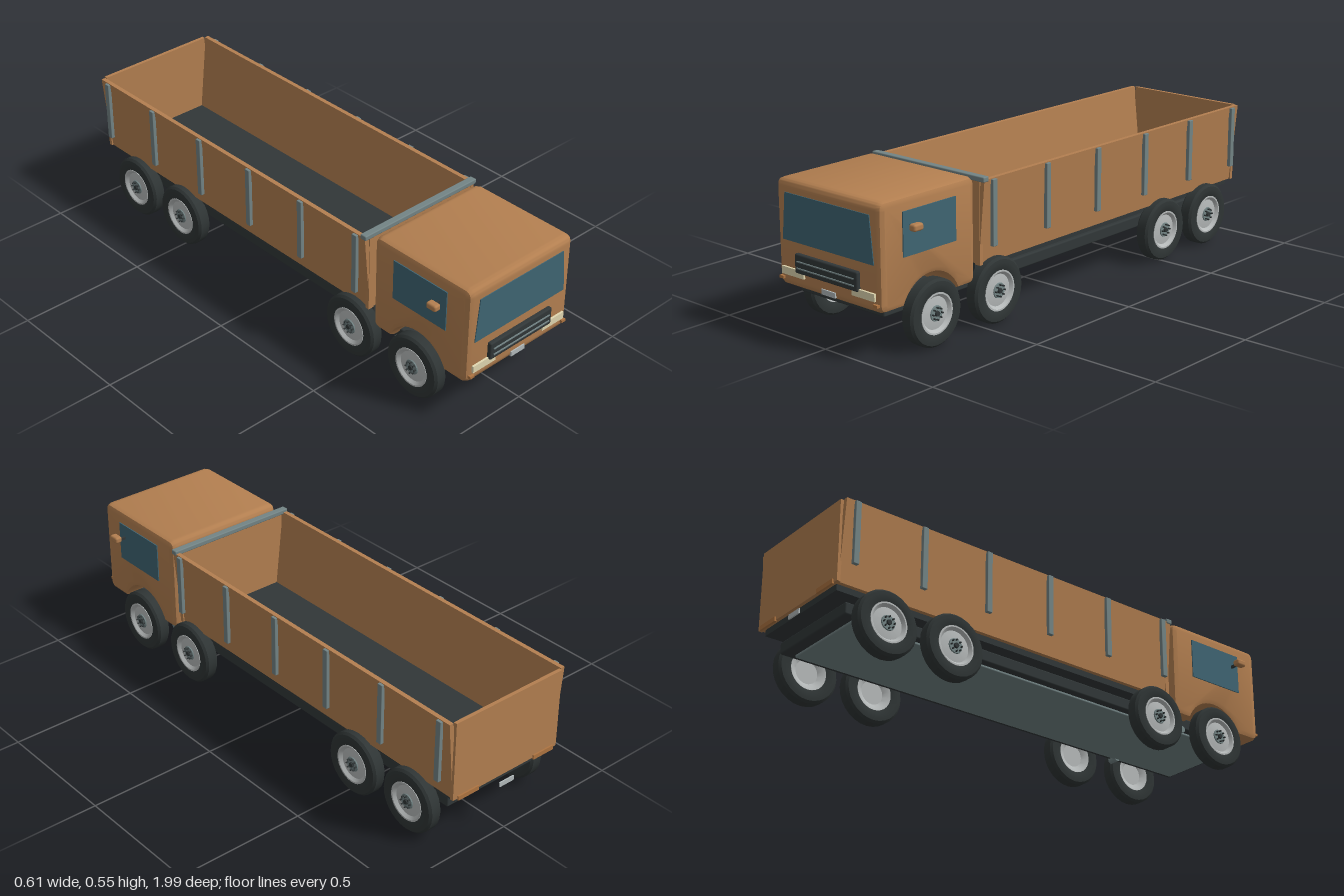
import * as THREE from 'three';
import { toCreasedNormals } from 'three/addons/utils/BufferGeometryUtils.js';
import { RoundedBoxGeometry } from 'three/addons/geometries/RoundedBoxGeometry.js';

const mat = (name, color) => {
  const m = new THREE.MeshStandardMaterial({ color });
  m.name = name;
  return m;
};

export function createModel() {
  const paint = mat('brown paint', 0xb37f50);
  const glass = mat('window glass', 0x3f6573);
  const dark = mat('dark frame', 0x313738);
  const tyreMat = mat('tyre rubber', 0x2f3535);
  const steel = mat('grey steel', 0x738485);
  const rimMat = mat('rim metal', 0xb6baba);
  const lampMat = mat('lamp cream', 0xe0d7b0);
  const plateMat = mat('plate grey', 0xb2babb);
  const amber = mat('marker amber', 0xae7441);

  const truck = new THREE.Group();
  truck.name = 'truck';
  const add = (name, geometry, material, parent = truck) => {
    const m = new THREE.Mesh(geometry, material);
    m.name = name;
    parent.add(m);
    return m;
  };
  // box given by its extents on each axis
  const box = (name, material, x0, x1, y0, y1, z0, z1, r = 0) => {
    const size = [x1 - x0, y1 - y0, z1 - z0];
    const g = r ? new RoundedBoxGeometry(...size, 2, r) : new THREE.BoxGeometry(...size);
    return add(name, g.translate((x0 + x1) / 2, (y0 + y1) / 2, (z0 + z1) / 2), material);
  };
  // the same box on both sides
  const pair = (name, material, x0, x1, ...rest) => {
    box(name + 'Left', material, x0, x1, ...rest);
    box(name + 'Right', material, -x1, -x0, ...rest);
  };
  const polygon = pts => new THREE.Shape(pts.map(p => new THREE.Vector2(...p)));

  // cab: side profile with wheel arch, extruded across the width
  const zb = 0.53, zf = 0.975, yb = 0.17, yt = 0.548, r = 0.03;
  const archZ = 0.74, archY = 0.12, archR = 0.135;
  const a = Math.asin((yb - archY) / archR);
  const cabShape = new THREE.Shape();
  cabShape.moveTo(zb + r, yb);
  cabShape.lineTo(archZ - Math.cos(a) * archR, yb);
  cabShape.absarc(archZ, archY, archR, Math.PI - a, a, true);
  cabShape.lineTo(zf - r, yb);
  cabShape.quadraticCurveTo(zf, yb, zf, yb + r);
  cabShape.lineTo(zf, yt - r);
  cabShape.quadraticCurveTo(zf, yt, zf - r, yt);
  cabShape.lineTo(zb + r, yt);
  cabShape.quadraticCurveTo(zb, yt, zb, yt - r);
  cabShape.lineTo(zb, yb + r);
  cabShape.quadraticCurveTo(zb, yb, zb + r, yb);
  const bevel = 0.022;
  const cab = new THREE.ExtrudeGeometry(cabShape, {
    depth: 0.5 - 2 * bevel, bevelEnabled: true, bevelThickness: bevel,
    bevelSize: bevel, bevelOffset: -bevel, bevelSegments: 2, curveSegments: 8,
  });
  cab.translate(0, 0, -0.25 + bevel).rotateY(-Math.PI / 2);
  add('cab', toCreasedNormals(cab, 0.6), paint);

  // windows
  const screen = polygon([[-0.22, 0.336], [0.22, 0.336], [0.203, 0.503], [-0.203, 0.503]]);
  add('windscreen', new THREE.ExtrudeGeometry(screen, { depth: 0.006, bevelEnabled: false })
    .translate(0, 0, 0.972), glass);
  pair('sideWindow', glass, 0.246, 0.254, 0.345, 0.5, 0.628, 0.875);

  // grille, lamps, markers and plates
  box('grille', dark, -0.152, 0.152, 0.232, 0.301, 0.97, 0.99, 0.006);
  for (const y of [0.252, 0.276]) box('grilleBar', steel, -0.138, 0.138, y - 0.002, y + 0.002, 0.985, 0.994);
  pair('headlamp', lampMat, 0.117, 0.225, 0.214, 0.241, 0.974, 0.983);
  pair('frontMarker', amber, 0.219, 0.238, 0.195, 0.205, 0.962, 0.984);
  box('frontPlate', plateMat, -0.033, 0.033, 0.181, 0.2, 0.971, 0.98);
  box('rearPlate', plateMat, -0.033, 0.033, 0.183, 0.201, -1, -0.995);
  pair('rearLamp', amber, 0.13, 0.225, 0.218, 0.235, -0.996, -0.988);

  // mirrors
  pair('mirrorArm', dark, 0.247, 0.285, 0.441, 0.451, 0.838, 0.846);
  pair('mirror', paint, 0.275, 0.304, 0.439, 0.464, 0.828, 0.872, 0.008);

  // chassis with its steel underside, below cab and bed
  box('chassis', dark, -0.203, 0.203, 0.138, 0.183, -0.925, 0.92, 0.006);
  box('underPlate', steel, -0.175, 0.175, 0.129, 0.14, -0.88, 0.9, 0.004);
  for (const s of [1, -1]) {
    add('sideStub', new THREE.CylinderGeometry(0.013, 0.013, 0.04, 12)
      .rotateZ(Math.PI / 2).translate(s * 0.185, 0.135, 0.607), steel);
  }
  box('bedFloor', dark, -0.222, 0.222, 0.2, 0.228, -0.975, 0.505);

  // flared bed sides, end walls and steel posts
  const y0 = 0.223, y1 = 0.53;
  const extrudeZ = (pts, depth, z) => new THREE.ExtrudeGeometry(polygon(pts),
    { depth, bevelEnabled: false }).translate(0, 0, z);
  for (const s of [1, -1]) {
    const pts = [[s * 0.215, y0], [s * 0.238, y0], [s * 0.267, y1], [s * 0.25, y1]];
    add('bedSide' + (s > 0 ? 'Left' : 'Right'), extrudeZ(pts, 1.482, -0.98), paint);
  }
  box('tailgate', paint, -0.245, 0.245, y0, y1, -0.99, -0.976);
  box('bedFrontWall', paint, -0.245, 0.245, y0, y1, 0.488, 0.504);
  for (let i = 0; i < 6; i++) {
    const z = 0.458 - i * 0.279;
    pair('bedPost', steel, 0.262, 0.277, 0.289, 0.527, z - 0.011, z + 0.011, 0.002);
  }
  box('headerBeam', steel, -0.27, 0.27, 0.522, 0.541, 0.482, 0.509, 0.004);

  // wheels: profiles are [radius, distance along axle], outer side positive
  const lathe = pts => toCreasedNormals(new THREE.LatheGeometry(
    pts.map(p => new THREE.Vector2(...p)), 28).rotateZ(-Math.PI / 2), 0.6);
  const tyre = lathe([[0.066, -0.02], [0.075, -0.026], [0.1, -0.028], [0.112, -0.0265], [0.12, -0.018],
    [0.12, 0.018], [0.112, 0.0265], [0.1, 0.028], [0.075, 0.026], [0.066, 0.02]]);
  const rim = lathe([[0, -0.01], [0.045, -0.01], [0.062, -0.022], [0.072, -0.025], [0.074, 0.0275],
    [0.068, 0.0275], [0.058, 0.017], [0.03, 0.021], [0, 0.021]]);
  const hub = new THREE.CylinderGeometry(0.027, 0.029, 0.006, 20).rotateZ(-Math.PI / 2);
  const cap = new THREE.CylinderGeometry(0.009, 0.011, 0.012, 12).rotateZ(-Math.PI / 2);
  const nut = new THREE.CylinderGeometry(0.003, 0.003, 0.012, 6).rotateZ(-Math.PI / 2);
  for (const z of [0.74, 0.43, -0.517, -0.795]) {
    for (const s of [1, -1]) {
      const wheel = new THREE.Group();
      wheel.name = 'wheel';
      add('tyre', tyre, tyreMat, wheel);
      add('rim', rim, rimMat, wheel);
      add('hub', hub, steel, wheel).position.x = 0.022;
      add('hubCap', cap, dark, wheel).position.x = 0.026;
      for (let i = 0; i < 8; i++) {
        const t = (i / 8) * Math.PI * 2;
        add('wheelNut', nut, dark, wheel).position.set(0.028, Math.cos(t) * 0.021, Math.sin(t) * 0.021);
      }
      wheel.position.set(s * 0.243, 0.12, z);
      if (s < 0) wheel.rotation.y = Math.PI;
      truck.add(wheel);
    }
  }
  return truck;
}
